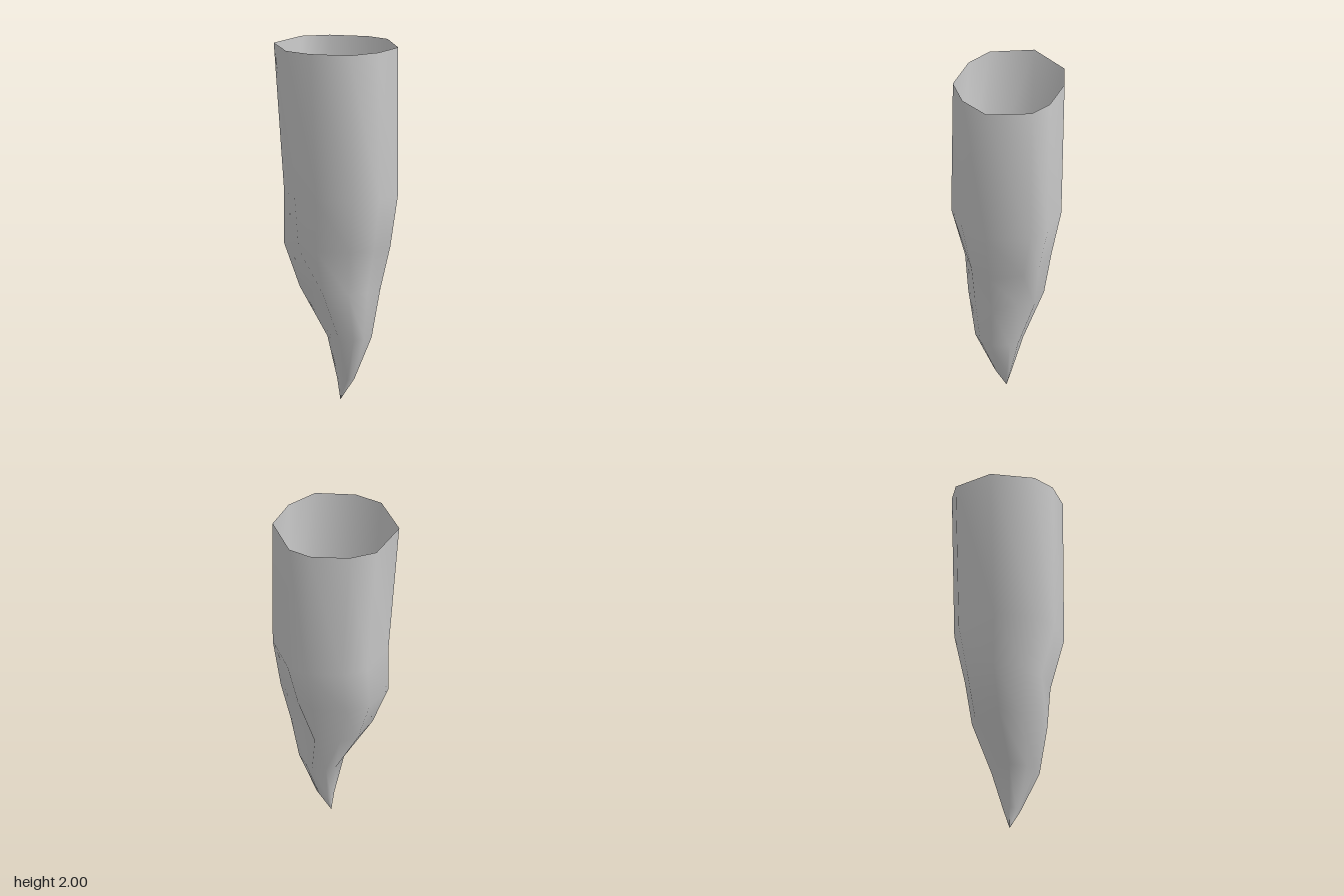
import * as THREE from 'three';

// Ten-sided outline (x, z), scaled to the bounds of each cross-section
const OUTLINE = [
  [-1, 0], [-0.68, -0.79], [-0.26, -1], [0.36, -1], [0.7, -0.8],
  [1, 0], [0.78, 0.6], [0.38, 1], [-0.26, 1], [-0.68, 0.77],
];

// Cross-sections from the open rim down; dent pulls in the back-left and front-right sides
const SECTIONS = [
  { y: 2.0, x: [-0.354, 0.35], z: [-0.29, 0.288], dent: 0 },
  { y: 1.17, x: [-0.295, 0.35], z: [-0.286, 0.29], dent: 0 },
  { y: 0.87, x: [-0.295, 0.305], z: [-0.22, 0.22], dent: 0.08 },
  { y: 0.63, x: [-0.205, 0.25], z: [-0.19, 0.205], dent: 0.3 },
  { y: 0.36, x: [-0.045, 0.205], z: [-0.1, 0.155], dent: 0.1 },
  { y: 0.12, x: [0.008, 0.105], z: [-0.03, 0.06], dent: 0.1 },
  { y: 0.0, x: [0.025, 0.025], z: [0.01, 0.01], dent: 0 },
];
const DENTED = [4, 9];

function loftSections() {
  const n = OUTLINE.length;
  const positions = [];
  const index = [];
  SECTIONS.forEach(({ y, x, z, dent }, row) => {
    OUTLINE.forEach(([u, v], i) => {
      const k = DENTED.includes(i) ? 1 - dent : 1;
      positions.push(
        (x[0] + x[1]) / 2 + (u * k * (x[1] - x[0])) / 2,
        y,
        (z[0] + z[1]) / 2 + (v * k * (z[1] - z[0])) / 2,
      );
      if (row === 0) return;
      const a = (row - 1) * n + i;
      const b = (row - 1) * n + ((i + 1) % n);
      index.push(a, b, a + n);
      if (row < SECTIONS.length - 1) index.push(b, b + n, a + n);
    });
  });
  const geometry = new THREE.BufferGeometry();
  geometry.setAttribute('position', new THREE.Float32BufferAttribute(positions, 3));
  geometry.setIndex(index);
  geometry.computeVertexNormals();
  return geometry;
}

export function createModel() {
  const group = new THREE.Group();
  group.name = 'pointedStake';
  // Hollow, open-topped shell tapering to a crooked point
  const shell = new THREE.Mesh(
    loftSections(),
    new THREE.MeshStandardMaterial({ color: 0xcccccc, side: THREE.DoubleSide }),
  );
  shell.name = 'stakeShell';
  group.add(shell);
  return group;
}
